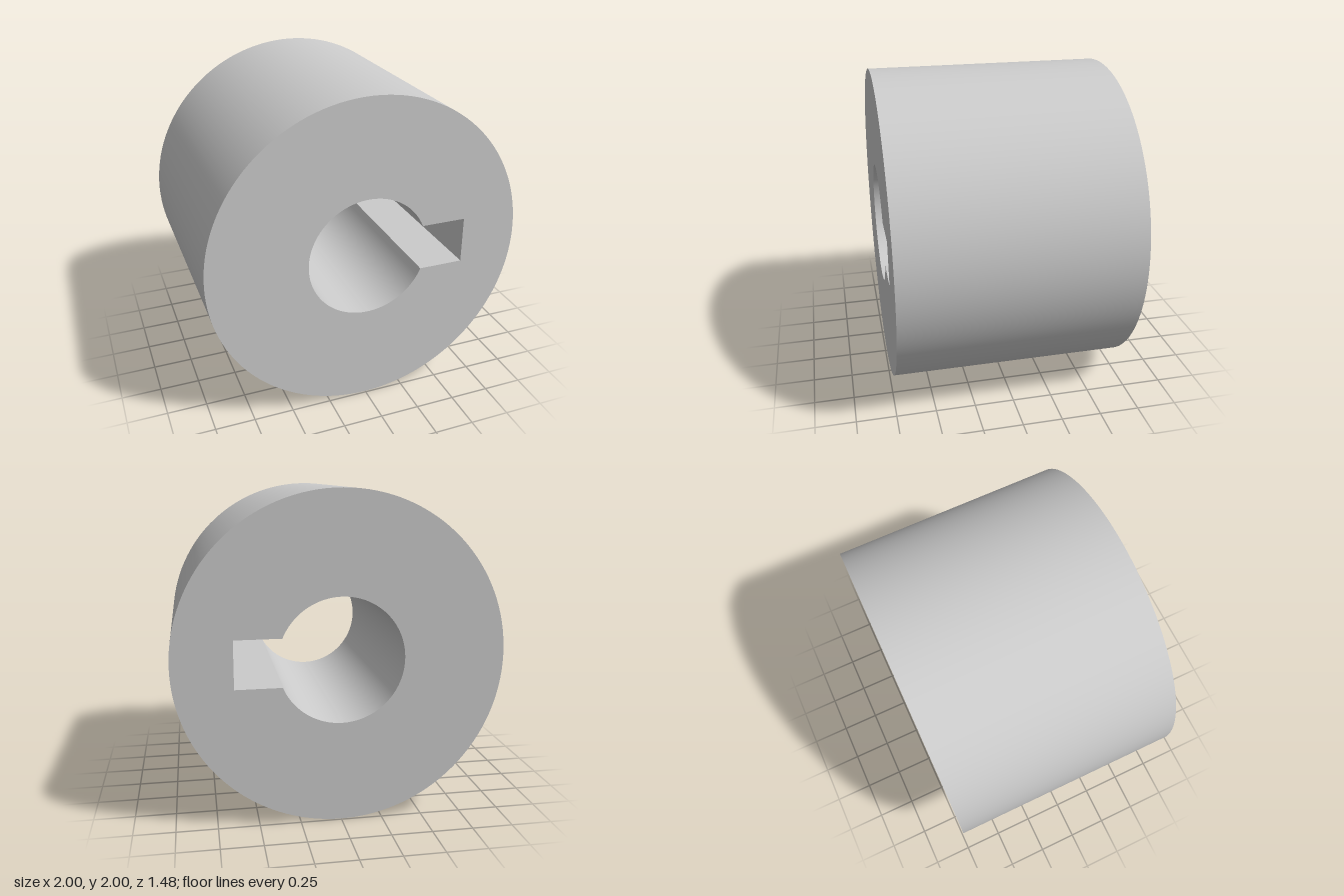
import * as THREE from 'three';
import { toCreasedNormals } from 'three/addons/utils/BufferGeometryUtils.js';

const RADIUS = 1;
const LENGTH = 1.48;
const BORE_RADIUS = 0.382;
const KEY_HALF_WIDTH = 0.147;
const KEY_DEPTH = 0.636; // from the axis to the keyway floor

export function createModel() {
  const group = new THREE.Group();
  group.name = 'keyedBushing';

  // Round outer section
  const section = new THREE.Shape();
  section.absarc(0, 0, RADIUS, 0, Math.PI * 2, false);

  // Bore with a rectangular keyway on the +x side
  const keyAngle = Math.asin(KEY_HALF_WIDTH / BORE_RADIUS);
  const bore = new THREE.Path();
  bore.moveTo(KEY_DEPTH, -KEY_HALF_WIDTH);
  bore.lineTo(KEY_DEPTH, KEY_HALF_WIDTH);
  bore.absarc(0, 0, BORE_RADIUS, keyAngle, Math.PI * 2 - keyAngle, false);
  bore.closePath();
  section.holes.push(bore);

  const extruded = new THREE.ExtrudeGeometry(section, {
    depth: LENGTH,
    bevelEnabled: false,
    curveSegments: 64,
  });
  extruded.translate(0, RADIUS, -LENGTH / 2);

  // Smooth round walls, sharp rims and keyway corners
  const body = new THREE.Mesh(
    toCreasedNormals(extruded, Math.PI / 6),
    new THREE.MeshStandardMaterial({ color: 0xcccccc })
  );
  body.name = 'bushingBody';
  group.add(body);

  return group;
}
